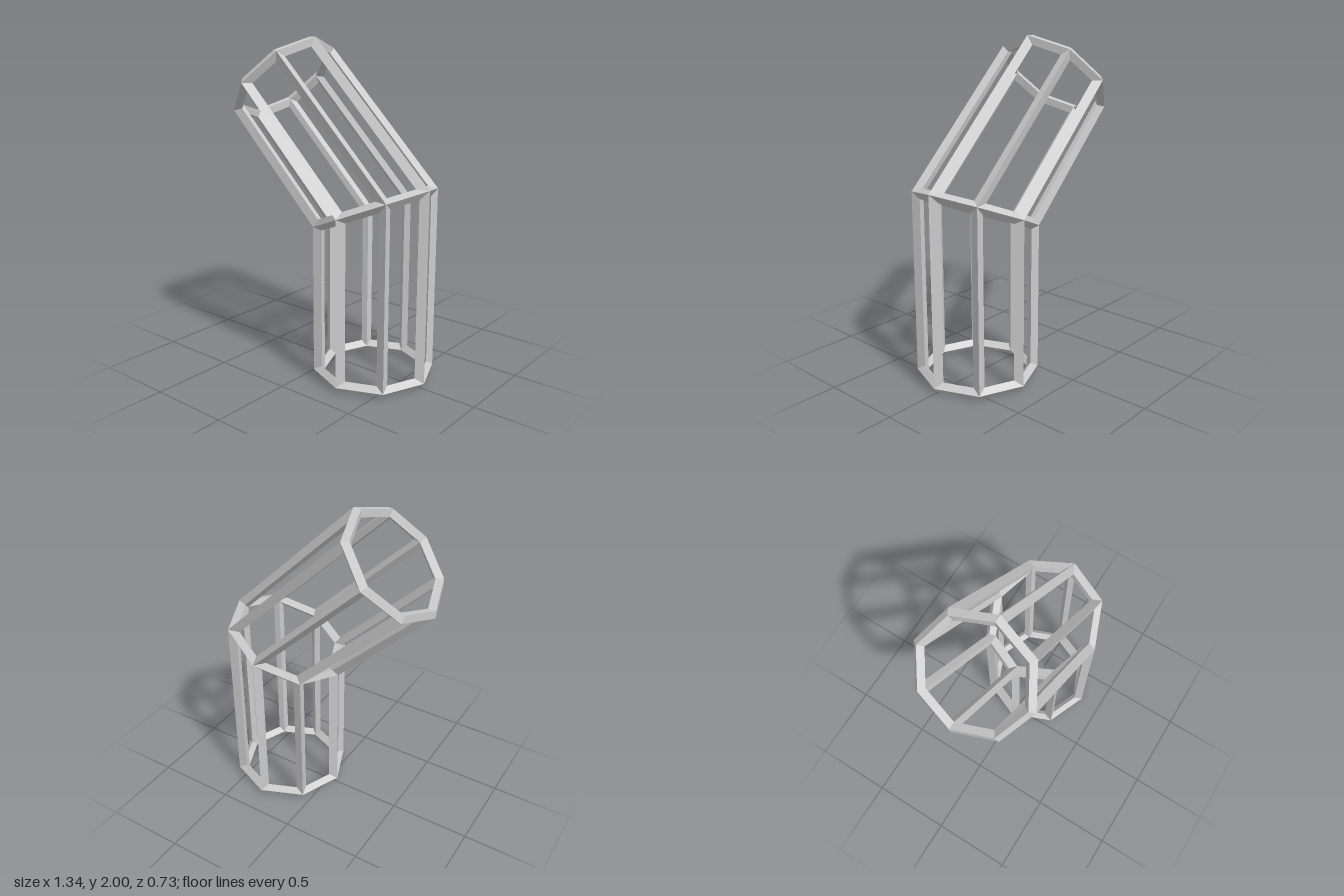
import * as THREE from 'three';

const SIDES = 8;
const RADIUS = 0.333; // centre line of the struts
const HALF = 0.0335;  // half thickness of the diamond strut section

// Rings of the bent pipe: centre, and the direction of its in-plane "width" axis
const D = Math.SQRT1_2;
const RINGS = [
  { x: 0.3, y: 0.035, ux: 1, uy: 0 },
  { x: 0.3, y: 1.04, ux: 1, uy: Math.tan(Math.PI / 8) }, // mitre joint
  { x: -0.41, y: 1.745, ux: D, uy: D },
];

function ringPoint(row, col, radius) {
  const { x, y, ux, uy } = RINGS[row];
  const a = (col / SIDES) * Math.PI * 2;
  const c = Math.cos(a) * radius;
  return new THREE.Vector3(x + c * ux, y + c * uy, Math.sin(a) * radius);
}

function quad(out, a, b, c, d) {
  for (const p of [a, b, c, a, c, d]) out.push(p.x, p.y, p.z);
}

function makeMesh(name, positions) {
  const geometry = new THREE.BufferGeometry();
  geometry.setAttribute('position', new THREE.Float32BufferAttribute(positions, 3));
  geometry.computeVertexNormals();
  const material = new THREE.MeshStandardMaterial({ color: 0xcccccc, flatShading: true });
  const mesh = new THREE.Mesh(geometry, material);
  mesh.name = name;
  return mesh;
}

// Corners of one pipe panel, counter-clockwise from outside
const panelCorners = (row, col) => [[row, col + 1], [row, col], [row + 1, col], [row + 1, col + 1]];

// Frame lining each panel of a pipe section: outer and inner bevels of its struts
function cage(name, row) {
  const out = [];
  for (let col = 0; col < SIDES; col++) {
    const corners = panelCorners(row, col);
    const base = corners.map(([r, c]) => ringPoint(r, c, RADIUS));
    const outer = corners.map(([r, c]) => ringPoint(r, c, RADIUS + HALF));
    const inner = corners.map(([r, c]) => ringPoint(r, c, RADIUS - HALF));
    // Panel opening, set in by HALF from both edges at every corner
    const inset = base.map((p, i) => {
      const u = base[(i + 1) % 4].clone().sub(p).normalize();
      const v = base[(i + 3) % 4].clone().sub(p).normalize();
      const sine = u.clone().cross(v).length();
      return p.clone().addScaledVector(u.add(v), HALF / sine);
    });
    for (let i = 0; i < 4; i++) {
      const j = (i + 1) % 4;
      quad(out, outer[i], outer[j], inset[j], inset[i]);
      quad(out, inner[i], inset[i], inset[j], inner[j]);
    }
  }
  return makeMesh(name, out);
}

// Bevelled lip closing the struts at an open end of the pipe
function rim(name, row, axis, flip) {
  const out = [];
  for (let col = 0; col < SIDES; col++) {
    const [a, b] = flip ? [col, col + 1] : [col + 1, col];
    const lipA = ringPoint(row, a, RADIUS).addScaledVector(axis, HALF);
    const lipB = ringPoint(row, b, RADIUS).addScaledVector(axis, HALF);
    quad(out, ringPoint(row, b, RADIUS + HALF), ringPoint(row, a, RADIUS + HALF), lipA, lipB);
    quad(out, ringPoint(row, b, RADIUS - HALF), lipB, lipA, ringPoint(row, a, RADIUS - HALF));
  }
  return makeMesh(name, out);
}

export function createModel() {
  const group = new THREE.Group();
  group.name = 'bentPipeFrame';
  group.add(
    cage('lowerCage', 0),
    cage('upperCage', 1),
    rim('bottomRim', 0, new THREE.Vector3(0, -1, 0), false),
    rim('topRim', 2, new THREE.Vector3(-D, D, 0), true),
  );
  return group;
}
